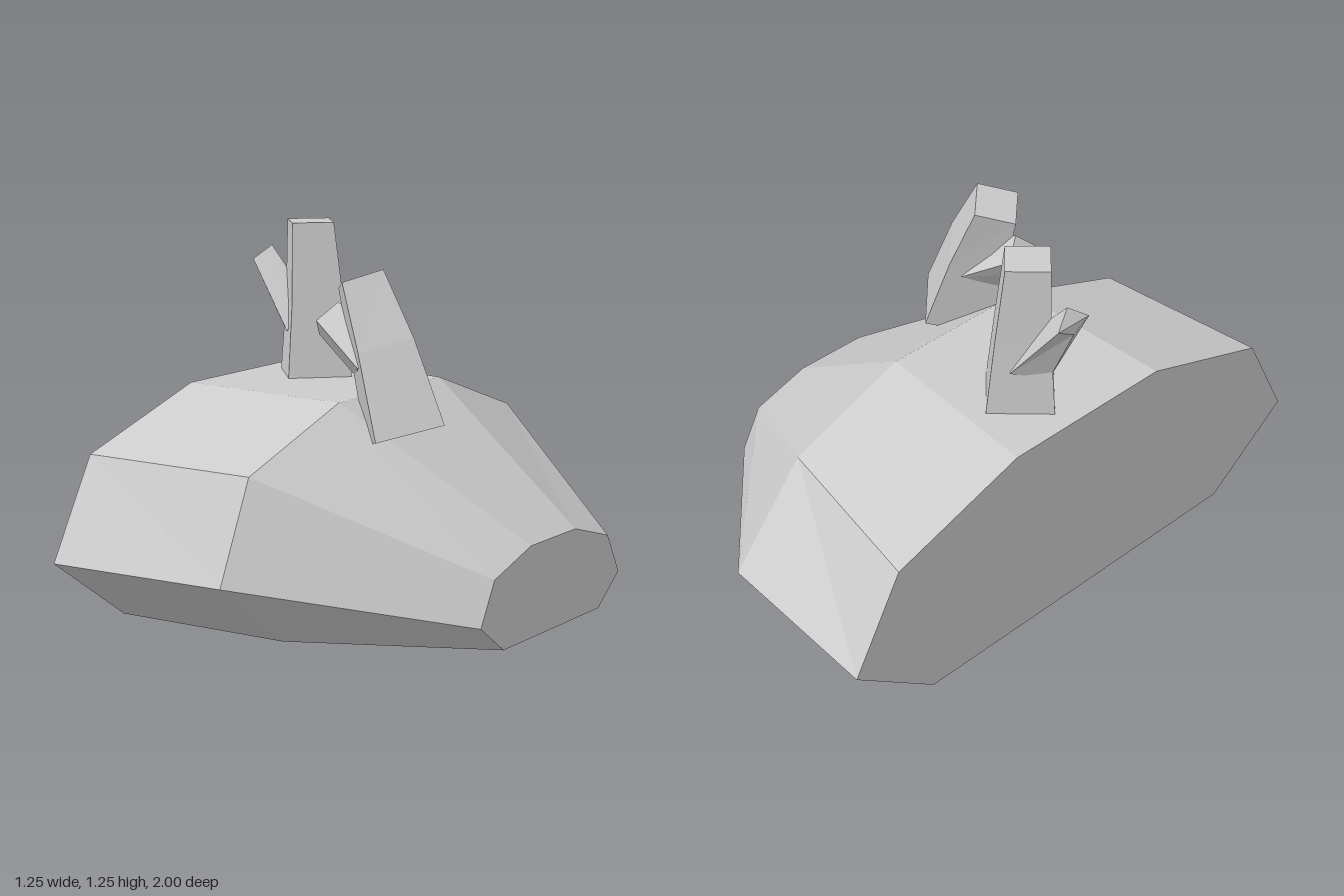
import * as THREE from 'three';

const stone = new THREE.MeshStandardMaterial({ color: 0xcccccc, flatShading: true });
stone.name = 'paleGrey';

// Skin closed rings of [x, y, z] points, counter-clockwise about the loft direction, and cap both ends
function loft(name, rings) {
  const n = rings[0].length, pos = [];
  const tri = (a, b, c) => pos.push(...a, ...b, ...c);
  for (let k = 0; k < rings.length - 1; k++) {
    const lo = rings[k], hi = rings[k + 1];
    for (let i = 0; i < n; i++) {
      const j = (i + 1) % n;
      tri(lo[i], lo[j], hi[j]);
      tri(lo[i], hi[j], hi[i]);
    }
  }
  const first = rings[0], last = rings[rings.length - 1];
  for (let i = 1; i < n - 1; i++) {
    tri(first[0], first[i + 1], first[i]);
    tri(last[0], last[i], last[i + 1]);
  }
  const geo = new THREE.BufferGeometry();
  geo.setAttribute('position', new THREE.Float32BufferAttribute(pos, 3));
  geo.computeVertexNormals();
  const mesh = new THREE.Mesh(geo, stone);
  mesh.name = name;
  return mesh;
}

// Diamond section: centre, in-plane half diagonal (ux, uy), half diagonal along z
const diamond = (x, y, z, ux, uy, rz) => [
  [x, y, z + rz], [x + ux, y + uy, z], [x, y, z - rz], [x - ux, y - uy, z],
];

// Octagonal section across x: front z values and back z values, top to bottom
const octagon = (x, heights, front, back) => [
  ...heights.map((y, i) => [x, y, front[i]]),
  ...heights.map((y, i) => [x, y, back[i]]).reverse(),
];

export function createModel() {
  const model = new THREE.Group();

  // Faceted rock, tapering toward +x
  const tall = [0.725, 0.565, 0.24, 0];
  model.add(loft('rock', [
    octagon(-0.625, tall, [0.32, 0.82, 1, 0.68], [-0.32, -0.82, -1, -0.68]),
    octagon(0, tall, [0.32, 0.78, 0.925, 0.62], [-0.25, -0.68, -0.95, -0.62]),
    octagon(0.62, [0.305, 0.24, 0.1, 0], [0.135, 0.345, 0.42, 0.29], [-0.135, -0.345, -0.42, -0.29]),
  ]));

  // Upright stalk with its side branch
  const upright = new THREE.Group();
  upright.name = 'uprightStalk';
  upright.add(loft('uprightTrunk', [
    diamond(-0.4, 0.72, -0.08, 0.155, 0, 0.155),
    diamond(-0.405, 0.98, -0.08, 0.125, 0, 0.125),
    diamond(-0.42, 1.25, -0.08, 0.1, 0, 0.1),
  ]));
  // Branch tip is trimmed flush with the flat side of the rock
  upright.add(loft('uprightBranch', [
    diamond(-0.45, 0.88, -0.08, 0.075, 0.03, 0.1),
    [[-0.622, 1.11, -0.015], [-0.59, 1.155, -0.08], [-0.622, 1.11, -0.15], [-0.622, 1.07, -0.08]],
  ]));
  model.add(upright);

  // Leaning stalk with its side branch
  const leaning = new THREE.Group();
  leaning.name = 'leaningStalk';
  leaning.add(loft('leaningTrunk', [
    diamond(0.19, 0.625, 0.22, 0.155, 0.05, 0.16),
    diamond(0.1, 0.9, 0.22, 0.125, 0.045, 0.13),
    diamond(0.015, 1.117, 0.22, 0.09, 0.038, 0.1),
  ]));
  leaning.add(loft('leaningBranch', [
    diamond(0.075, 0.845, 0.22, 0.08, 0.05, 0.1),
    diamond(-0.115, 0.978, 0.22, 0.04, 0.057, 0.067),
  ]));
  model.add(leaning);

  return model;
}
